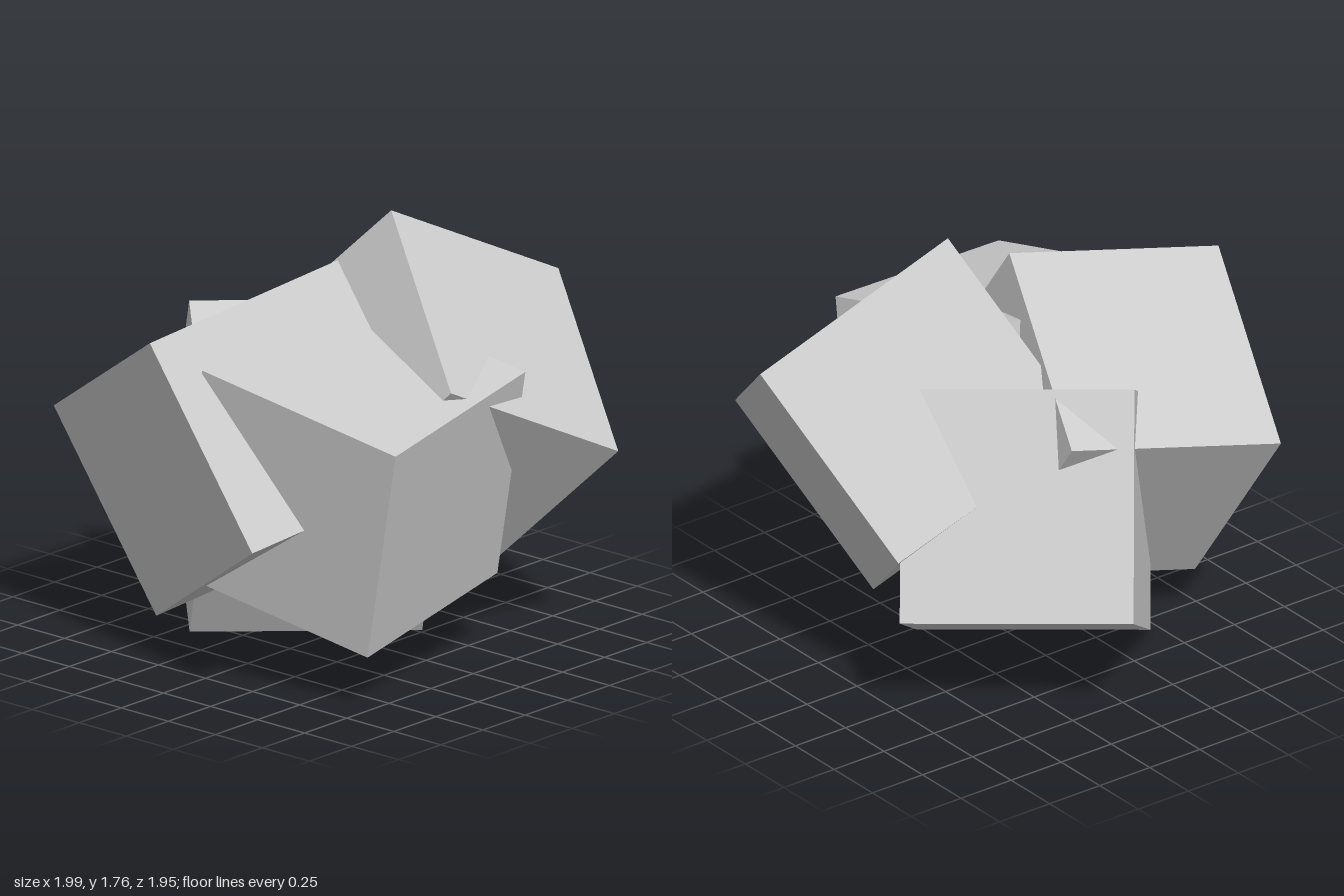
import * as THREE from 'three';

const SIZE = 0.928;

// A cube placed by its centre and the directions of two of its edges.
function tumbledCube(name, center, edgeA, edgeB, material) {
  const x = new THREE.Vector3(...edgeA).normalize();
  const z = x.clone().cross(new THREE.Vector3(...edgeB)).normalize();
  const y = z.clone().cross(x);
  const cube = new THREE.Mesh(new THREE.BoxGeometry(SIZE, SIZE, SIZE), material);
  cube.name = name;
  cube.quaternion.setFromRotationMatrix(new THREE.Matrix4().makeBasis(x, y, z));
  cube.position.set(...center);
  return cube;
}

export function createModel() {
  const group = new THREE.Group();
  group.name = 'cubeCluster';
  const material = new THREE.MeshStandardMaterial({ color: 0xcccccc, flatShading: true });

  // Four equal cubes, each turned its own way and overlapping the others
  const cubes = [
    ['frontCube', [-0.28, 0.825, 0.345], [0.92, 0.10, -0.13], [0.07, -0.90, -0.21]],
    ['upperLeftCube', [0.29, 0.97, 0.25], [-0.82, 0.41, -0.155], [-0.39, -0.52, 0.665]],
    ['upperRightCube', [-0.405, 0.90, -0.09], [0.89, 0.17, 0.20], [0.04, -0.77, 0.52]],
    ['lowerBackCube', [0.055, 0.65, -0.19], [-0.695, 0.03, -0.61], [0.545, 0.455, -0.60]],
  ];
  for (const [name, center, a, b] of cubes) group.add(tumbledCube(name, center, a, b, material));
  return group;
}
